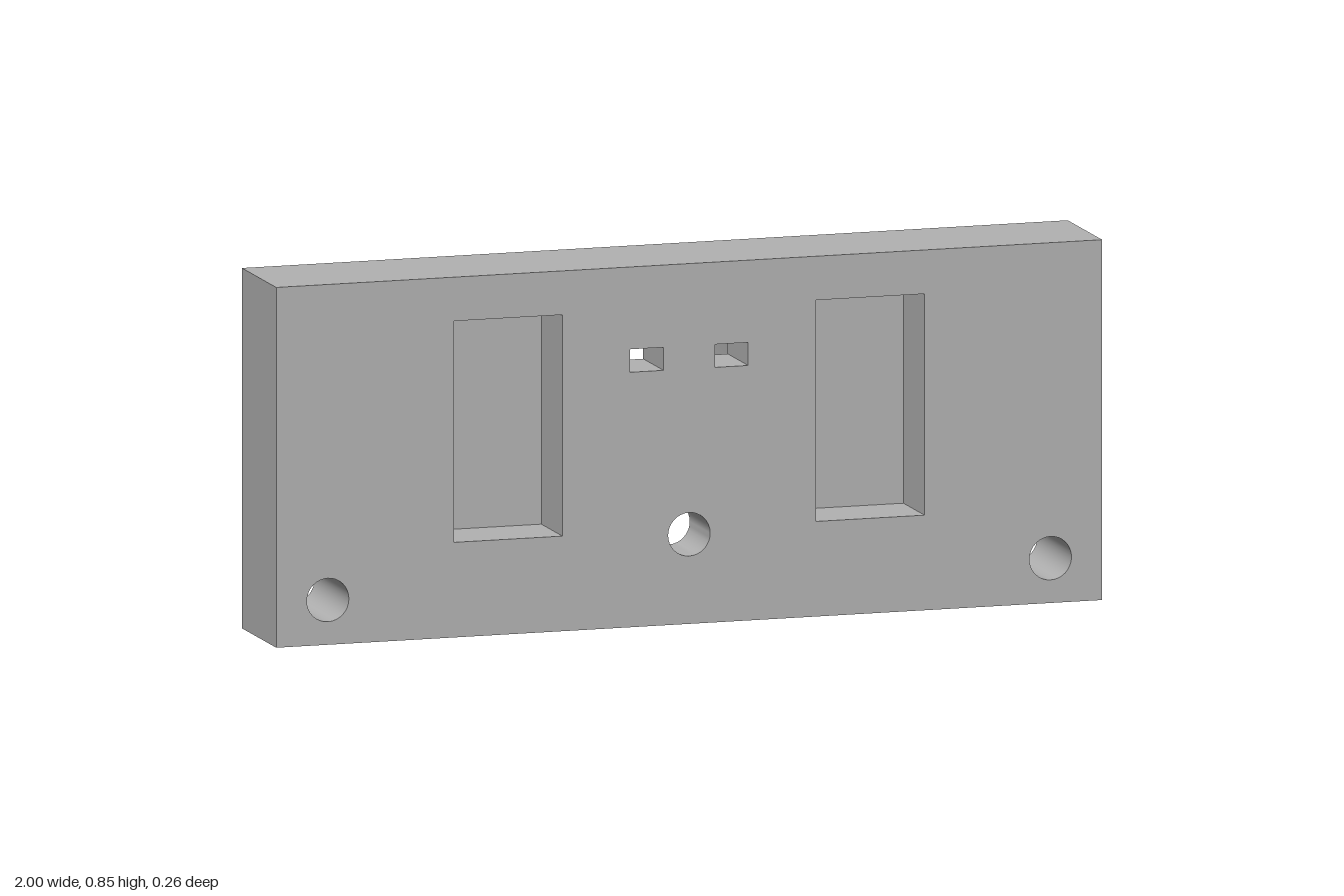
import * as THREE from 'three';
import { toCreasedNormals } from 'three/addons/utils/BufferGeometryUtils.js';

const W = 1, H = 0.845, FRONT = 0.13, BACK = -0.13;
const POCKET_FLOOR = -0.03, RECESS_FLOOR = -0.025;
const SEG = 16;

// Outlines, all counter-clockwise
function rect(x0, y0, x1, y1, r = 0) {
  const s = new THREE.Shape();
  if (r === 0) {
    s.moveTo(x0, y0).lineTo(x1, y0).lineTo(x1, y1).lineTo(x0, y1);
  } else {
    s.absarc(x1 - r, y0 + r, r, -Math.PI / 2, 0);
    s.absarc(x1 - r, y1 - r, r, 0, Math.PI / 2);
    s.absarc(x0 + r, y1 - r, r, Math.PI / 2, Math.PI);
    s.absarc(x0 + r, y0 + r, r, Math.PI, Math.PI * 1.5);
  }
  return s;
}

function circle(x, y, r) {
  return new THREE.Shape().absarc(x, y, r, 0, Math.PI * 2);
}

// Flat face at depth z, looking forward or backward
function face(outline, holes, z, backward = false) {
  const shape = outline.clone();
  shape.holes = holes;
  const g = new THREE.ShapeGeometry(shape, SEG);
  if (backward) {
    const index = g.index.array;
    for (let i = 0; i < index.length; i += 3) {
      [index[i + 1], index[i + 2]] = [index[i + 2], index[i + 1]];
    }
    g.computeVertexNormals();
  }
  return g.translate(0, 0, z);
}

// Wall along an outline from z0 to z1, facing out of it or into it
function wall(outline, z0, z1, inward = true) {
  const pts = outline.getPoints(SEG);
  if (inward) pts.reverse();
  const pos = [];
  pts.forEach((a, i) => {
    const b = pts[(i + 1) % pts.length];
    if (a.distanceTo(b) < 1e-6) return;
    pos.push(a.x, a.y, z0, b.x, b.y, z0, b.x, b.y, z1);
    pos.push(a.x, a.y, z0, b.x, b.y, z1, a.x, a.y, z1);
  });
  const g = new THREE.BufferGeometry();
  g.setAttribute('position', new THREE.Float32BufferAttribute(pos, 3));
  g.computeVertexNormals();
  return toCreasedNormals(g, 0.6);
}

export function createModel() {
  const model = new THREE.Group();
  model.name = 'mountingBlock';
  const grey = new THREE.MeshStandardMaterial({ color: 0xb2b2b2 });
  grey.name = 'grey';
  const add = (name, geometry) => {
    const mesh = new THREE.Mesh(geometry, grey);
    mesh.name = name;
    model.add(mesh);
  };

  const body = rect(-W, 0, W, H);
  const pockets = [rect(-0.57, 0.223, -0.307, 0.742), rect(0.307, 0.223, 0.57, 0.742)];
  const slots = [rect(-0.143, 0.598, -0.062, 0.652), rect(0.062, 0.598, 0.143, 0.652)];
  const cornerHoles = [circle(-0.875, 0.105, 0.051), circle(0.875, 0.105, 0.051)];
  const centreHole = circle(0, 0.21, 0.051);
  const counterbore = circle(0, 0.21, 0.13);
  const recess = rect(-0.146, 0.506, 0.146, 0.742, 0.05);

  // Block shell
  add('blockSides', wall(body, BACK, FRONT, false));
  add('frontFace', face(body, [...pockets, ...slots, ...cornerHoles, centreHole], FRONT));
  add('backFace', face(body, [...cornerHoles, counterbore, recess], BACK, true));

  // Blind pockets in the front
  for (const p of pockets) {
    add('pocketWalls', wall(p, POCKET_FLOOR, FRONT));
    add('pocketFloor', face(p, [], POCKET_FLOOR));
  }

  // Through holes at the lower corners
  for (const h of cornerHoles) add('cornerHole', wall(h, BACK, FRONT));

  // Central hole, counterbored from the back
  add('centreHole', wall(centreHole, RECESS_FLOOR, FRONT));
  add('counterboreWall', wall(counterbore, BACK, RECESS_FLOOR));
  add('counterboreFloor', face(counterbore, [centreHole], RECESS_FLOOR, true));

  // Rounded recess in the back, with two slots through to the front
  add('recessWalls', wall(recess, BACK, RECESS_FLOOR));
  add('recessFloor', face(recess, slots, RECESS_FLOOR, true));
  for (const s of slots) add('slot', wall(s, RECESS_FLOOR, FRONT));

  return model;
}
